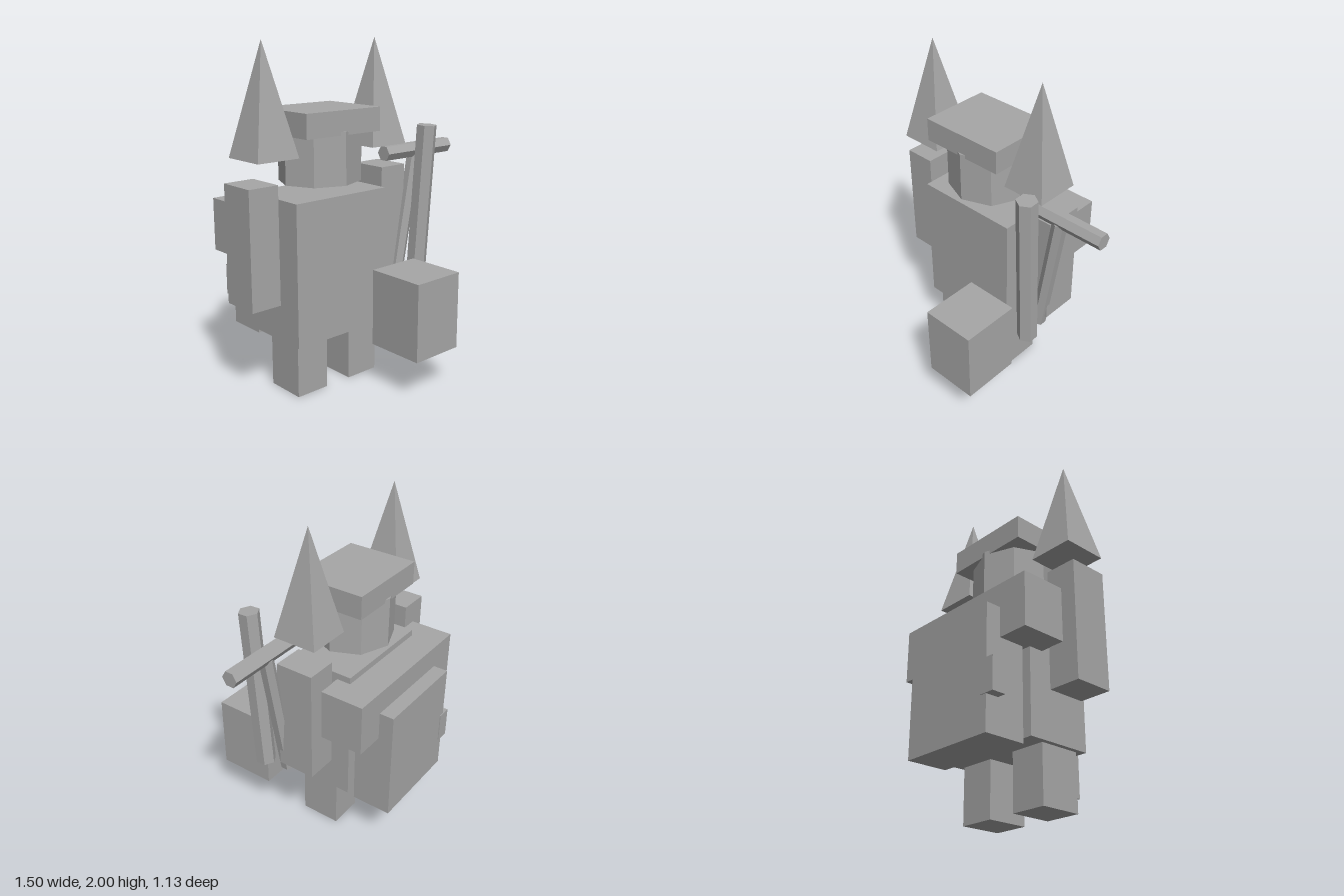
import * as THREE from 'three';

const grey = new THREE.MeshStandardMaterial({ color: 0xa6a6a6, flatShading: true });
grey.name = 'grey';

const CENTRE = -0.18; // x of the figure's own mirror plane

export function createModel() {
  const model = new THREE.Group();
  model.name = 'blockyFigure';

  function add(name, geometry) {
    const mesh = new THREE.Mesh(geometry, grey);
    mesh.name = name;
    model.add(mesh);
    return mesh;
  }

  // Box given by its limits on each axis
  function box(name, [x0, x1], [y0, y1], [z0, z1]) {
    const mesh = add(name, new THREE.BoxGeometry(x1 - x0, y1 - y0, z1 - z0));
    mesh.position.set((x0 + x1) / 2, (y0 + y1) / 2, (z0 + z1) / 2);
    return mesh;
  }

  // Six-sided rod between two points
  function rod(name, from, to, radius) {
    const a = new THREE.Vector3(...from);
    const b = new THREE.Vector3(...to);
    const mesh = add(name, new THREE.CylinderGeometry(radius, radius, a.distanceTo(b), 6));
    mesh.position.copy(a).lerp(b, 0.5);
    mesh.quaternion.setFromUnitVectors(new THREE.Vector3(0, 1, 0), b.sub(a).normalize());
    return mesh;
  }

  // Torso and shoulder yoke
  box('torso', [-0.506, 0.148], [0.32, 1.145], [-0.292, 0.105]);
  box('shoulderYoke', [-0.658, 0.3], [0.8, 1.107], [-0.473, -0.205]);

  // Octagonal head with a flat cap
  const head = add('head', new THREE.CylinderGeometry(0.245, 0.245, 0.3, 8));
  head.scale.z = 0.935;
  head.position.set(CENTRE, 1.355, -0.093);
  box('cap', [-0.445, 0.085], [1.485, 1.622], [-0.31, 0.125]);

  // Paired parts: legs, arms and shoulder spikes
  for (const [side, s] of [['left', 1], ['right', -1]]) {
    const legX = CENTRE + s * 0.191;
    box(side + 'Leg', [legX - 0.106, legX + 0.106], [0, 0.32], [-0.187, 0.058]);

    const armX = CENTRE + s * 0.476;
    box(side + 'Arm', [armX - 0.094, armX + 0.094], [0.567, 1.245], [-0.208, 0.022]);

    const spikeGeometry = new THREE.ConeGeometry(0.134 * Math.SQRT2, 0.62, 4).rotateY(Math.PI / 4);
    const spike = add(side + 'Spike', spikeGeometry);
    spike.position.set(CENTRE + s * 0.402, 1.69, -0.07);
  }

  // Pack on the back with a side tab
  box('backpack', [-0.478, 0.12], [0.28, 0.97], [-0.562, -0.318]);
  box('backpackTab', [-0.53, -0.443], [0.475, 0.66], [-0.567, -0.485]);

  // Block in front of the left leg
  box('frontBlock', [-0.042, 0.289], [0.25, 0.706], [0.21, 0.567]);

  // Rods by the left arm
  rod('frontRod', [0.36, 0.503, 0.158], [0.38, 1.502, 0.212], 0.06);
  rod('leaningRod', [0.327, 0.507, 0.017], [0.462, 1.31, 0.035], 0.043);
  rod('crossRod', [0.204, 1.33, 0.034], [0.747, 1.33, 0.034], 0.048);

  return model;
}
